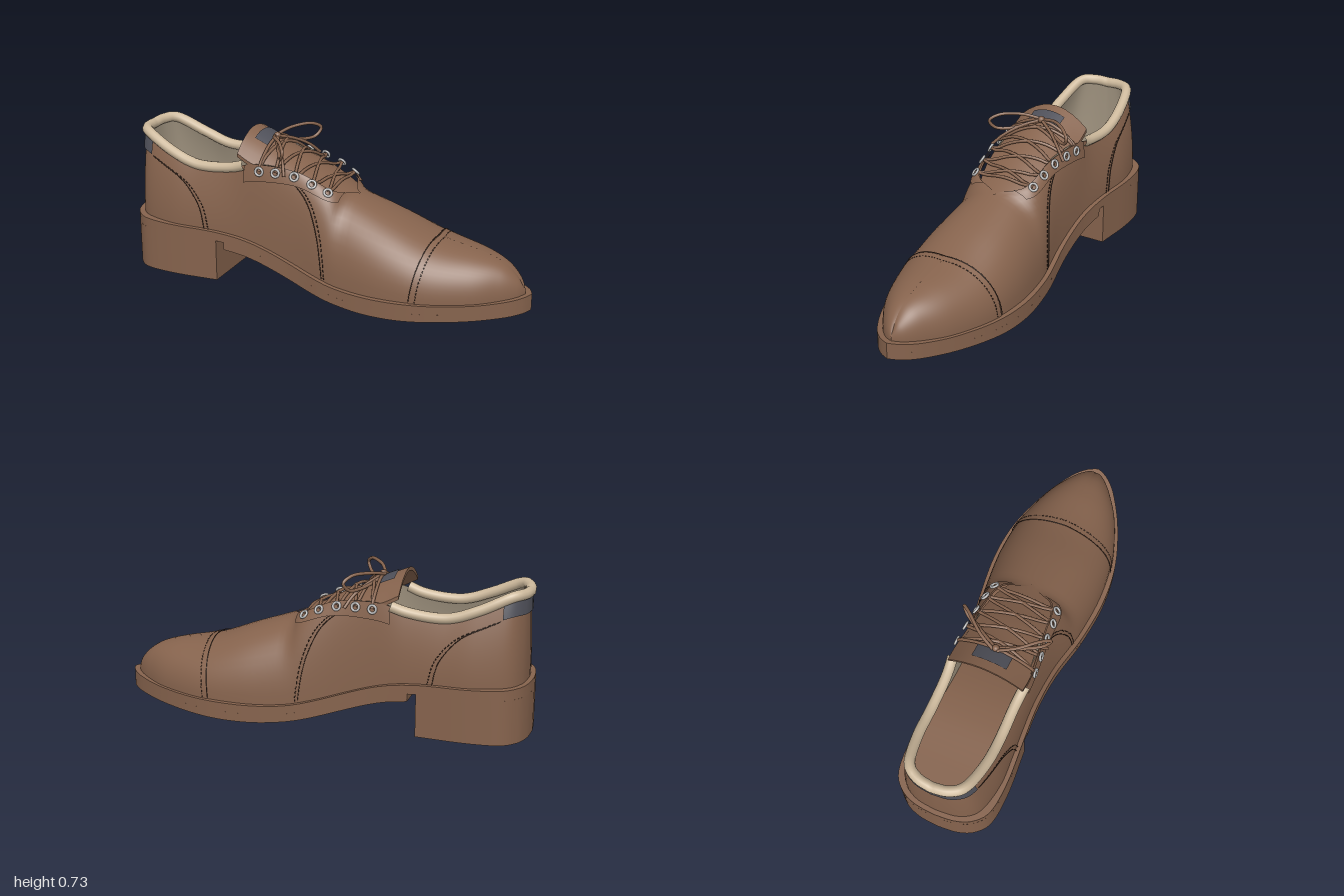
import * as THREE from 'three';
import { mergeVertices, mergeGeometries, toCreasedNormals } from 'three/addons/utils/BufferGeometryUtils.js';

const V = (x, y, z) => new THREE.Vector3(x, y, z);
const mix = THREE.MathUtils.lerp;

// Smooth function y(x) through a few points
function curveFn(points) {
  const s = new THREE.SplineCurve(points.map(p => new THREE.Vector2(...p))).getPoints(400);
  return x => {
    let i = 1;
    while (i < s.length - 1 && s[i].x < x) i++;
    const a = s[i - 1], b = s[i];
    return mix(a.y, b.y, THREE.MathUtils.clamp((x - a.x) / (b.x - a.x || 1), 0, 1));
  };
}

// Surface from a rule f(u, v), u and v in 0..1
function grid(nu, nv, f) {
  const pos = [], idx = [];
  for (let i = 0; i <= nu; i++) for (let j = 0; j <= nv; j++) pos.push(...f(i / nu, j / nv).toArray());
  for (let i = 0; i < nu; i++) for (let j = 0; j < nv; j++) {
    const a = i * (nv + 1) + j, b = a + nv + 1;
    idx.push(a, b, a + 1, b, b + 1, a + 1);
  }
  let g = new THREE.BufferGeometry();
  g.setAttribute('position', new THREE.Float32BufferAttribute(pos, 3));
  g.setIndex(idx);
  g = mergeVertices(g, 1e-5);
  g.computeVertexNormals();
  return g;
}

// Sole outline and heights along the length
const halfWidth = curveFn([[-1, 0], [-0.99, 0.1], [-0.955, 0.18], [-0.88, 0.235], [-0.72, 0.25], [-0.5, 0.237], [-0.3, 0.227],
  [-0.1, 0.238], [0.12, 0.278], [0.35, 0.3], [0.55, 0.28], [0.75, 0.21], [0.9, 0.125], [0.97, 0.06], [1, 0]]);
const weltTop = curveFn([[-1, 0.265], [-0.75, 0.255], [-0.5, 0.248], [-0.3, 0.215], [0, 0.12], [0.2, 0.087], [0.5, 0.085], [0.8, 0.095], [1, 0.115]]);
const weltBottom = curveFn([[-1, 0.212], [-0.75, 0.21], [-0.5, 0.205], [-0.3, 0.172], [0, 0.08], [0.2, 0.046], [0.5, 0.043], [0.8, 0.056], [1, 0.075]]);
const soleBottom = curveFn([[-0.6, 0.18], [-0.46, 0.165], [-0.3, 0.135], [0, 0.04], [0.2, 0.006], [0.4, 0], [0.6, 0.008], [0.8, 0.02], [1, 0.036]]);

// Slab that follows the sole outline from x0 to x1, with end caps
function slab(x0, x1, top, bottom) {
  const n = 72;
  const g = grid(n, 4, (u, v) => {
    const i = Math.round(u * n), k = Math.round(v * 4) % 4;
    const t = THREE.MathUtils.clamp((i - 1) / (n - 2), 0, 1);
    const x = x0 + (x1 - x0) * (1 - Math.cos(t * Math.PI)) / 2;
    const w = i === 0 || i === n ? 0 : halfWidth(x);
    return V(x, k < 2 ? top(x) : bottom(x), k === 0 || k === 3 ? w : -w);
  });
  return toCreasedNormals(g, 0.6);
}

// Upper: base x, base z, top x, top z, top y, roundness; from heel to toe
const ROWS = [
  [-0.977, 0, -0.962, 0, 0.665, 0], [-0.962, 0.11, -0.95, 0.075, 0.67, 0], [-0.9, 0.19, -0.9, 0.135, 0.665, 0],
  [-0.75, 0.226, -0.76, 0.165, 0.6, 0], [-0.6, 0.222, -0.62, 0.17, 0.555, 0], [-0.45, 0.212, -0.45, 0.17, 0.565, 0],
  [-0.3, 0.206, -0.3, 0.18, 0.605, 0.2], [-0.1, 0.216, -0.1, 0.155, 0.585, 0.6], [0.05, 0.242, 0.07, 0.125, 0.505, 0.9],
  [0.15, 0.26, 0.15, 0, 0.47, 1], [0.35, 0.276, 0.35, 0, 0.4, 1], [0.55, 0.258, 0.55, 0, 0.325, 1],
  [0.75, 0.188, 0.75, 0, 0.283, 1], [0.87, 0.113, 0.86, 0, 0.245, 1], [0.94, 0.05, 0.925, 0, 0.19, 1], [0.967, 0, 0.947, 0, 0.14, 1]];
const LAST = ROWS.length - 1;
const baseCurve = new THREE.SplineCurve(ROWS.map(r => new THREE.Vector2(r[0], r[1])));
const topCurve = new THREE.SplineCurve(ROWS.map(r => new THREE.Vector2(r[2], r[3])));
const topHeight = curveFn(ROWS.map((r, i) => [i, r[4]]));
const roundness = curveFn(ROWS.map((r, i) => [i, r[5]]));

// Point on the upper; negative rows lie on the right-hand side
function skin(row, v) {
  const r = Math.min(Math.abs(row), LAST), b = baseCurve.getPoint(r / LAST), t = topCurve.getPoint(r / LAST);
  const k = roundness(r), a = v * Math.PI / 2;
  const f = mix(1 - v * v, Math.pow(Math.max(Math.cos(a), 0), 0.9), k);
  const h = mix(v, Math.pow(Math.sin(a), 0.9), k);
  const z = mix(Math.max(t.y, 0), Math.max(b.y, 0), f);
  return V(mix(t.x, b.x, f), mix(weltTop(b.x) - 0.006, topHeight(r), h), row < 0 ? -z : z);
}
function skinNormal(row, v) {
  const r = THREE.MathUtils.clamp(row, 0.02 - LAST, LAST - 0.02), w = THREE.MathUtils.clamp(v, 0.02, 0.97);
  const du = skin(r + 0.02, w).sub(skin(r - 0.02, w)), dv = skin(r, w + 0.02).sub(skin(r, w - 0.02));
  return du.cross(dv).normalize();
}
const onSkin = (row, v, off) => skin(row, v).addScaledVector(skinNormal(row, v), off);
const patch = (r0, r1, v0, v1, off, nu = 30) =>
  grid(nu, 12, (u, v) => onSkin(mix(r0, r1, u), mix(v0, v1, v), off));

// Tongue: centre height, half width and side drop along x
const tongueY = curveFn([[-0.4, 0.73], [-0.3, 0.688], [-0.2, 0.64], [-0.1, 0.595], [0, 0.54], [0.1, 0.488], [0.18, 0.45]]);
const tongueW = curveFn([[-0.4, 0.183], [-0.3, 0.184], [-0.1, 0.16], [0.05, 0.13], [0.18, 0.06]]);
const tongueDrop = curveFn([[-0.4, 0.085], [-0.3, 0.09], [-0.1, 0.045], [0.05, 0.025], [0.18, 0.01]]);
const tongueAt = (x, z) => tongueY(x) - tongueDrop(x) * Math.min((z / tongueW(x)) ** 2, 1.3);

const tube = (pts, r, n = 32, sides = 8) => new THREE.TubeGeometry(new THREE.CatmullRomCurve3(pts), n, r, sides);

export function createModel() {
  const model = new THREE.Group();
  const mat = (name, color, extra = {}) => Object.assign(new THREE.MeshStandardMaterial({ color, ...extra }), { name });
  const leather = mat('brown leather', 0x86634d);
  const lining = mat('lining', 0xa39682, { side: THREE.DoubleSide });
  const cream = mat('cream collar', 0xcdb99c);
  const grey = mat('slate grey', 0x4f5059);
  const metal = mat('metal', 0xb9b9b9);
  const thread = mat('dark thread', 0x3f2c22);
  const add = (name, geo, material) => {
    const m = new THREE.Mesh(geo, material);
    m.name = name;
    model.add(m);
    return m;
  };

  // Sole and heel
  add('welt', slab(-1, 1, weltTop, weltBottom), leather);
  add('outsole', slab(-0.46, 1, weltBottom, soleBottom), leather);
  add('heel', slab(-1, -0.5, x => weltBottom(x) + 0.002, () => 0), leather);

  // Upper, lining and padded collar
  add('upper', patch(-LAST, LAST, 0, 1, 0, 180), leather);
  add('lining', patch(-7, 7, 0, 1, -0.012, 80), lining);
  const rim = [];
  for (let r = -5.6; r <= 5.61; r += 0.4) rim.push(skin(r, 1));
  add('collar', tube(rim, 0.025, 100, 12), cream);

  // Raised toe cap, heel tab and eyelet facings
  add('toeCap', grid(50, 16, (u, v) => onSkin(mix(10.78 + 0.22 * v, LAST, u), v, 0.004)), leather);
  add('toeCap', grid(50, 16, (u, v) => onSkin(-mix(LAST, 10.78 + 0.22 * v, u), v, 0.004)), leather);
  add('heelTab', patch(-2.25, 2.25, 0.79, 0.97, 0.009, 40), grey);
  add('facingLeft', patch(5.6, 8.4, 0.76, 1, 0.008), leather);
  add('facingRight', patch(-8.4, -5.6, 0.76, 1, 0.008), leather);

  // Seams with a row of stitches beside each
  const seams = {
    toeSeam: [[10.76, 0.02], [10.88, 0.5], [10.98, 1]],
    quarterSeam: [[8.1, 0.02], [7.85, 0.3], [7.4, 0.6], [6.95, 0.78]],
    counterSeam: [[4.2, 0.02], [4, 0.4], [3.4, 0.7], [2.3, 0.78]],
  };
  for (const [name, pts] of Object.entries(seams)) for (const side of [1, -1]) {
    const path = new THREE.SplineCurve(pts.map(p => new THREE.Vector2(...p)));
    const at = (t, shift) => { const p = path.getPoint(t); return onSkin(side * (p.x + shift), p.y, 0.004); };
    const line = Array.from({ length: 25 }, (_, i) => at(i / 24, 0));
    const parts = [tube(line, 0.002, 48, 5)];
    for (let i = 0; i < 24; i++) parts.push(tube([at(i / 24, 0.14), at((i + 0.6) / 24, 0.14)], 0.0025, 1, 5));
    add(name, mergeGeometries(parts), thread);
  }

  // Tongue with its grey tab
  add('tongue', toCreasedNormals(grid(32, 20, (u, v) => {
    const i = Math.round(u * 32), k = Math.round(v * 20) % 20;
    const x = mix(-0.4, 0.18, THREE.MathUtils.clamp((i - 1) / 30, 0, 1));
    const under = k >= 10, a = under ? (k - 10) / 4.5 - 1 : 1 - k / 4.5;
    const z = THREE.MathUtils.clamp(a, -1, 1) * tongueW(x);
    return V(x, tongueAt(x, z) - (under && i > 0 && i < 32 ? 0.018 : 0), z);
  }), 0.7), leather);
  add('tongueTab', grid(6, 12, (u, v) => {
    const x = mix(-0.355, -0.275, u), z = mix(0.085, -0.085, v);
    return V(x, tongueAt(x, z) + 0.006, z);
  }), grey);

  // Eyelets
  const eyeRows = [6.1, 6.5, 6.95, 7.42, 7.88];
  const eyes = [1, -1].map(side => eyeRows.map(r => onSkin(side * r, 0.9, 0.012)));
  [1, -1].forEach((side, s) => eyeRows.forEach((r, i) => {
    const ring = add('eyelet', new THREE.TorusGeometry(0.018, 0.006, 8, 20), metal);
    ring.position.copy(eyes[s][i]);
    ring.quaternion.setFromUnitVectors(V(0, 0, 1), skinNormal(side * r, 0.9));
  }));

  // Criss-cross laces resting on the tongue
  const lace = (a, b) => {
    const pts = [];
    for (let i = 0; i <= 10; i++) {
      const p = a.clone().lerp(b, i / 10);
      if (i > 0 && i < 10) p.y = Math.max(p.y, tongueAt(p.x, p.z) + 0.012);
      pts.push(p);
    }
    add('lace', tube(pts, 0.0075), leather);
  };
  for (let i = 0; i < 4; i++) {
    lace(eyes[0][i], eyes[1][i + 1]);
    lace(eyes[1][i], eyes[0][i + 1]);
  }
  lace(eyes[0][4], eyes[1][4]);

  // Bow
  for (const s of [1, -1]) {
    add('bowLoop', tube([V(-0.29, 0.695, 0.01 * s), V(-0.25, 0.715, 0.09 * s), V(-0.18, 0.718, 0.175 * s), V(-0.15, 0.69, 0.213 * s),
      V(-0.17, 0.652, 0.19 * s), V(-0.22, 0.652, 0.11 * s), V(-0.28, 0.685, 0.01 * s)], 0.008, 60), leather);
    add('laceEnd', tube([V(-0.28, 0.695, 0), V(-0.23, 0.665, 0.08 * s), V(-0.18, 0.62, 0.15 * s), V(-0.15, 0.57, 0.2 * s)], 0.0075), leather);
    lace(eyes[s > 0 ? 0 : 1][0], V(-0.28, 0.695, 0));
  }
  add('bowKnot', new THREE.SphereGeometry(0.017, 16, 12), leather).position.set(-0.28, 0.695, 0);
  return model;
}
